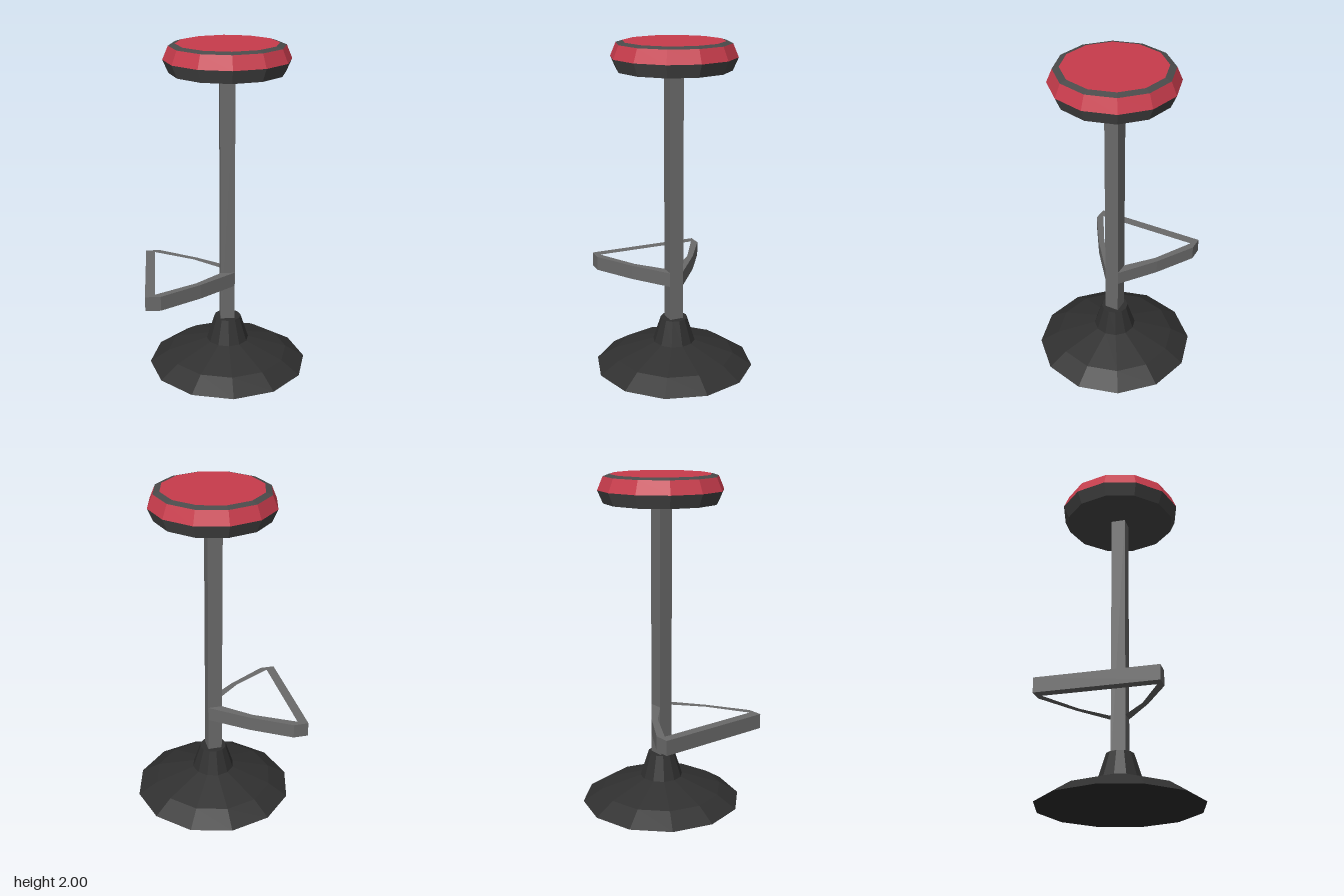
import * as THREE from 'three';

const CX = 0.006; // column axis
const SIDES = 12;

const material = (color) => new THREE.MeshStandardMaterial({ color, flatShading: true });

export function createModel() {
  const stool = new THREE.Group();
  stool.name = 'barStool';
  const red = material(0xc83c4c);
  const darkGrey = material(0x4a4a4a);
  const steel = material(0x6a6a6a);
  const black = material(0x303030);

  const add = (name, geometry, mat, x = 0, y = 0) => {
    const mesh = new THREE.Mesh(geometry, mat);
    mesh.name = name;
    mesh.position.set(x, y, 0);
    stool.add(mesh);
    return mesh;
  };
  // Faceted turned part from [radius, height] pairs, listed bottom to top
  const turned = (name, profile, mat) =>
    add(name, new THREE.LatheGeometry(profile.map(([r, y]) => new THREE.Vector2(r, y)), SIDES), mat, CX);

  // Flared foot with its collar
  turned('base', [[0, 0], [0.487, 0], [0.37, 0.075], [0.13, 0.155], [0.082, 0.305], [0, 0.305]], black);

  // Square column
  add('column', new THREE.BoxGeometry(0.087, 1.65, 0.087), steel, CX - 0.002, 1.025);

  // Cushion: dark underside, red band, grey piping and red top
  turned('seatUnderside', [[0, 1.835], [0.335, 1.835], [0.368, 1.91]], darkGrey);
  turned('seatBand', [[0.368, 1.91], [0.335, 1.988]], red);
  turned('seatPiping', [[0.335, 1.988], [0.297, 2]], darkGrey);
  turned('seatTop', [[0.297, 2], [0, 2]], red);

  // Footrest: closed loop mirrored across z, extruded upward
  const loop = (half) => {
    const mirrored = half.map(([x, z]) => [x, -z]).reverse();
    return [...half, ...mirrored].map(([x, z]) => new THREE.Vector2(x, z));
  };
  const outline = new THREE.Shape(loop([[-0.495, 0.352], [-0.405, 0.352], [-0.17, 0.208], [0.047, 0.0435]]));
  outline.holes.push(new THREE.Path(loop([[-0.437, 0.32], [-0.195, 0.182], [-0.03, 0.035]])));
  const footrest = new THREE.ExtrudeGeometry(outline, { depth: 0.088, bevelEnabled: false });
  footrest.rotateX(Math.PI / 2);
  add('footrest', footrest, steel, 0, 0.612);

  return stool;
}
